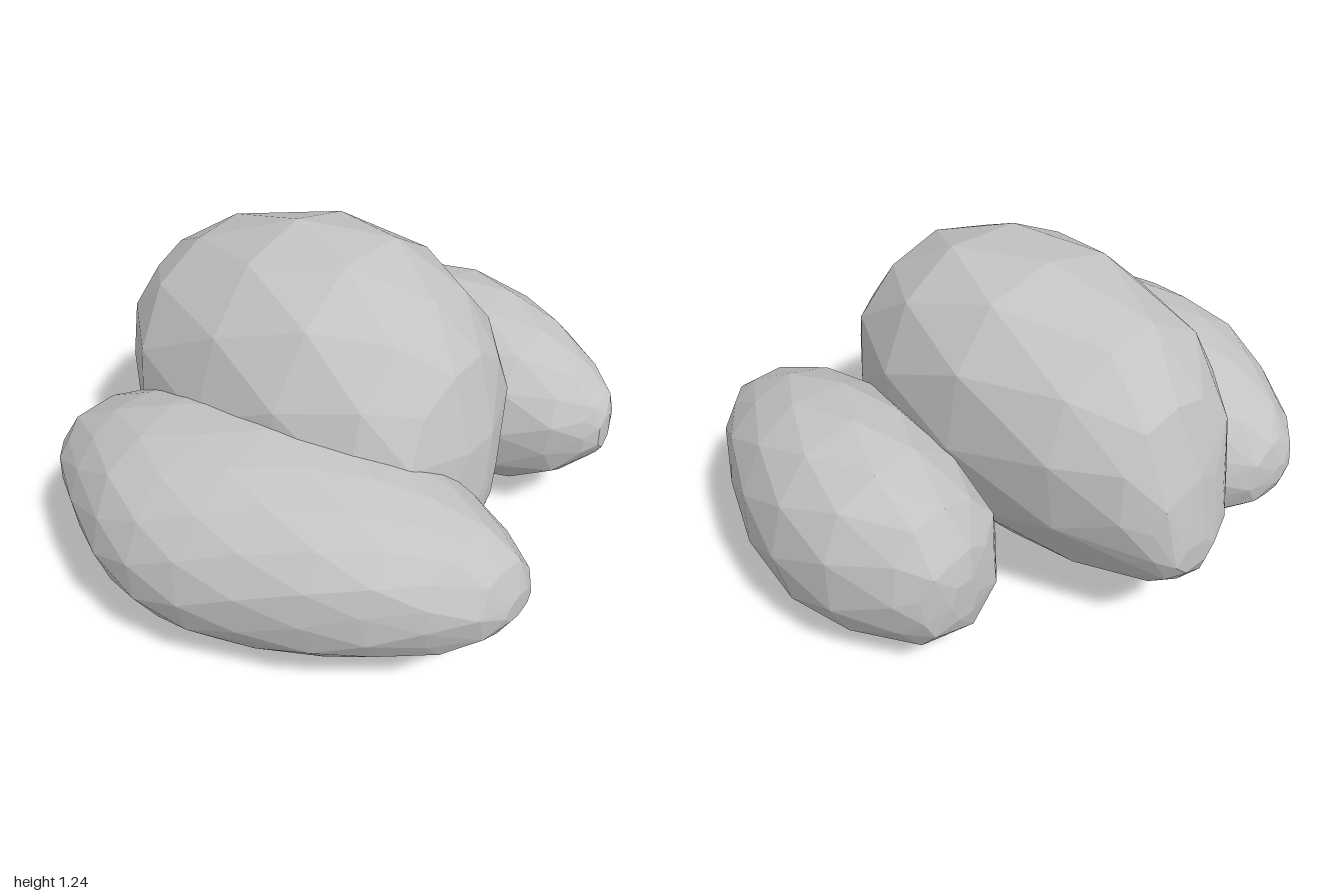
import * as THREE from 'three';
import { ConvexGeometry } from 'three/addons/geometries/ConvexGeometry.js';

// Each rock is a faceted hull around cross-sections [z, xMin, xMax, yMin, yMax].
// sides: corners per section, lean: sideways shift of the top against the bottom,
// lift: how far the widest line sits above the middle, round: 1 is an ellipse, less is boxier.
function rock(name, sections, { sides, lean, lift, round }, material) {
  const points = [];
  const soft = (v) => Math.sign(v) * Math.pow(Math.abs(v), round);
  sections.forEach(([z, x0, x1, y0, y1], i) => {
    const cx = (x0 + x1) / 2, cy = (y0 + y1) / 2;
    const rx = (x1 - x0) / 2, ry = (y1 - y0) / 2;
    const end = i === 0 || i === sections.length - 1;
    const n = end ? sides / 2 : sides;
    for (let k = 0; k < n; k++) {
      // stagger alternate sections so facets interlock
      const a = ((k + (i % 2) * 0.5) / n) * Math.PI * 2;
      const s = soft(Math.sin(a)), c = soft(Math.cos(a));
      const wobble = end ? 0 : 0.01 * Math.sin(k * 2.7 + i * 1.9);
      points.push(new THREE.Vector3(
        cx + rx * c + lean * s * ry,
        cy + ry * (s + lift * c * c),
        z + wobble,
      ));
    }
  });
  const mesh = new THREE.Mesh(new ConvexGeometry(points), material);
  mesh.name = name;
  return mesh;
}

export function createModel() {
  const group = new THREE.Group();
  group.name = 'rockCluster';
  const stone = new THREE.MeshStandardMaterial({ color: 0xc3c3c3 });
  stone.name = 'stoneGrey';

  // tall middle boulder, coarse facets
  group.add(rock('middleBoulder', [
    [-0.93, -0.06, 0.12, 0.42, 0.53],
    [-0.88, -0.16, 0.18, 0.33, 0.75],
    [-0.79, -0.28, 0.25, 0.25, 0.98],
    [-0.58, -0.45, 0.36, 0.15, 1.13],
    [-0.23, -0.52, 0.45, 0.09, 1.24],
    [0.08, -0.52, 0.46, 0.09, 1.23],
    [0.34, -0.46, 0.38, 0.13, 1.12],
    [0.49, -0.35, 0.26, 0.23, 0.96],
    [0.57, -0.20, 0.08, 0.32, 0.72],
    [0.60, -0.09, -0.02, 0.40, 0.52],
  ], { sides: 12, lean: 0.1, lift: 0.08, round: 0.98 }, stone));

  // small boulder on the left, coarse facets
  group.add(rock('leftBoulder', [
    [-0.53, 0.59, 0.70, 0.32, 0.48],
    [-0.50, 0.49, 0.79, 0.24, 0.58],
    [-0.42, 0.41, 0.85, 0.15, 0.70],
    [-0.22, 0.35, 0.96, 0.08, 0.78],
    [0.00, 0.31, 1.00, 0.04, 0.81],
    [0.22, 0.30, 0.97, 0.05, 0.80],
    [0.42, 0.33, 0.90, 0.12, 0.75],
    [0.60, 0.40, 0.80, 0.22, 0.66],
    [0.70, 0.48, 0.71, 0.33, 0.58],
    [0.74, 0.53, 0.62, 0.38, 0.52],
  ], { sides: 12, lean: 0, lift: 0, round: 0.93 }, stone));

  // long low boulder on the right, finer facets
  group.add(rock('rightBoulder', [
    [-0.80, -0.62, -0.55, 0.35, 0.43],
    [-0.77, -0.68, -0.45, 0.28, 0.52],
    [-0.68, -0.77, -0.34, 0.20, 0.62],
    [-0.50, -0.88, -0.20, 0.11, 0.71],
    [-0.30, -0.97, -0.09, 0.04, 0.77],
    [-0.12, -1.00, -0.02, 0.01, 0.79],
    [0.06, -0.98, 0.02, 0.00, 0.80],
    [0.25, -0.92, 0.02, 0.03, 0.79],
    [0.45, -0.84, -0.03, 0.08, 0.76],
    [0.62, -0.75, -0.09, 0.15, 0.71],
    [0.77, -0.64, -0.15, 0.22, 0.65],
    [0.88, -0.52, -0.22, 0.30, 0.57],
    [0.93, -0.43, -0.28, 0.38, 0.47],
  ], { sides: 16, lean: -0.08, lift: 0, round: 0.98 }, stone));

  return group;
}
